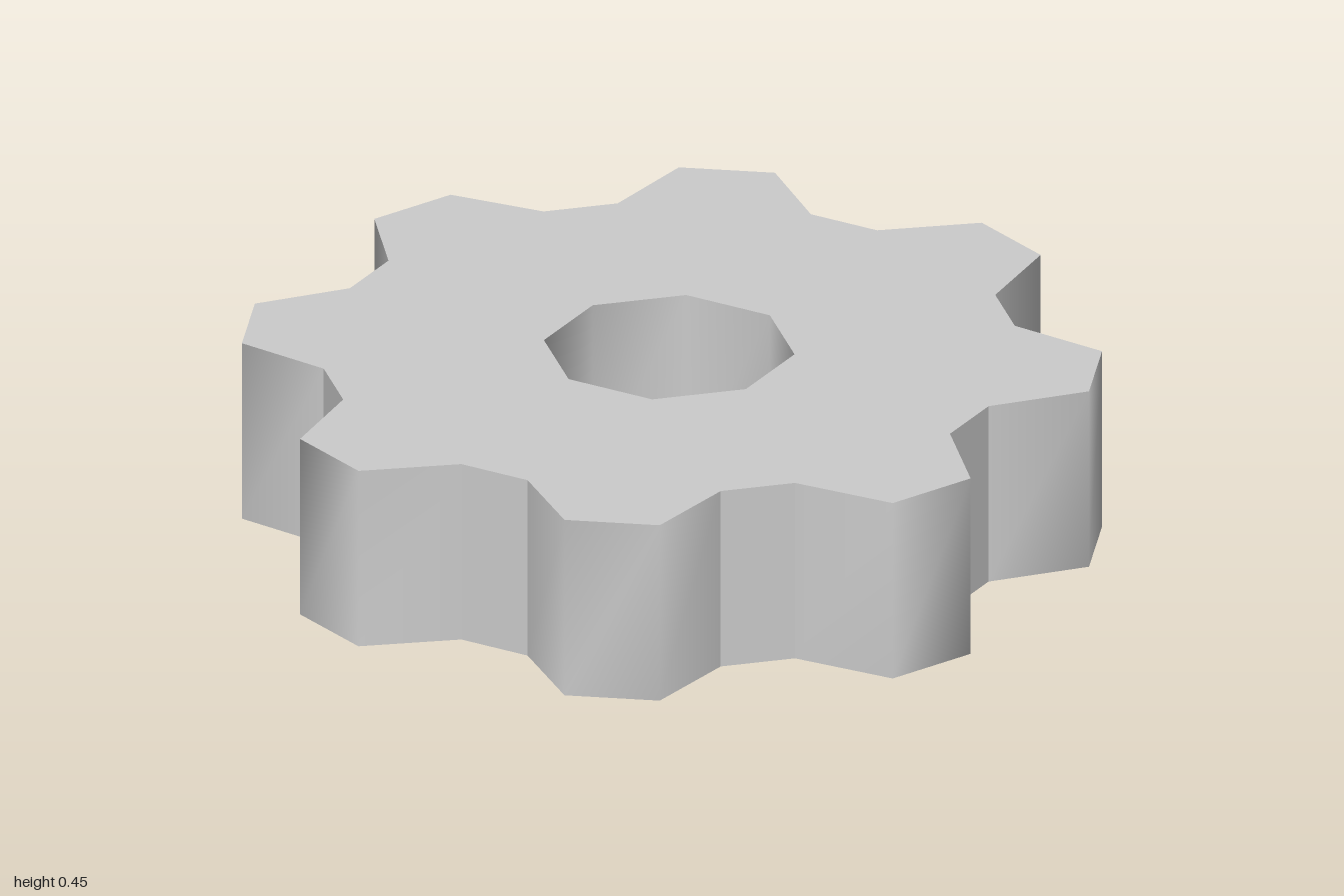
import * as THREE from 'three';

const HEIGHT = 0.45, TEETH = 8;
const CENTRE = { x: -0.011, z: 0.003 };
const ROOT_RADIUS = 0.815, HOLE_RADIUS = 0.295;
const ROOT_HALF = THREE.MathUtils.degToRad(16.2);
const TIP_HALF = THREE.MathUtils.degToRad(6.45);
// the tips wander slightly from tooth to tooth
const TIP_RADII = [1.0173, 1.01, 1.009, 1.008, 0.995, 0.997, 1.003, 0.998];

const polar = (r, a) => new THREE.Vector2(r * Math.cos(a), r * Math.sin(a));

// upright strip along plan points (plan y = -z), smooth within the strip
function wall(points, closed = false) {
  const positions = [], index = [], n = points.length;
  for (const p of points) positions.push(p.x, 0, -p.y, p.x, HEIGHT, -p.y);
  for (let i = 0; i < (closed ? n : n - 1); i++) {
    const a = 2 * i, b = 2 * ((i + 1) % n);
    index.push(a, b, b + 1, a, b + 1, a + 1);
  }
  const geometry = new THREE.BufferGeometry();
  geometry.setAttribute('position', new THREE.Float32BufferAttribute(positions, 3));
  geometry.setIndex(index);
  geometry.computeVertexNormals();
  return geometry;
}

// flat face with the bore cut out; side is 1 for the top, -1 for the bottom
function cap(outline, hole, side) {
  const place = (p) => new THREE.Vector2(p.x, p.y * side);
  const shape = new THREE.Shape(outline.map(place));
  shape.holes.push(new THREE.Path(hole.map(place)));
  const geometry = new THREE.ShapeGeometry(shape);
  geometry.rotateX(-side * Math.PI / 2);
  if (side > 0) geometry.translate(0, HEIGHT, 0);
  return geometry;
}

export function createModel() {
  const gear = new THREE.Group();
  gear.name = 'gear';
  const material = new THREE.MeshStandardMaterial({ color: 0xcccccc });
  const add = (name, geometry) => {
    const mesh = new THREE.Mesh(geometry, material);
    mesh.name = name;
    gear.add(mesh);
  };

  // plan outline of every tooth: root, tip, tip, root
  const teeth = TIP_RADII.map((tip, i) => {
    const a = i * 2 * Math.PI / TEETH;
    return [
      polar(ROOT_RADIUS, a - ROOT_HALF), polar(tip, a - TIP_HALF),
      polar(tip, a + TIP_HALF), polar(ROOT_RADIUS, a + ROOT_HALF),
    ];
  });
  const hole = Array.from({ length: 8 }, (_, i) => polar(HOLE_RADIUS, i * Math.PI / 4));

  // tooth sides and the flat valleys between them
  teeth.forEach((tooth, i) => {
    add('tooth' + (i + 1), wall(tooth));
    add('valley' + (i + 1), wall([tooth[3], teeth[(i + 1) % TEETH][0]]));
  });

  // bore wall faces inward
  add('bore', wall([...hole].reverse(), true));
  add('topFace', cap(teeth.flat(), hole, 1));
  add('bottomFace', cap(teeth.flat(), hole, -1));

  gear.position.set(CENTRE.x, 0, CENTRE.z);
  return gear;
}
